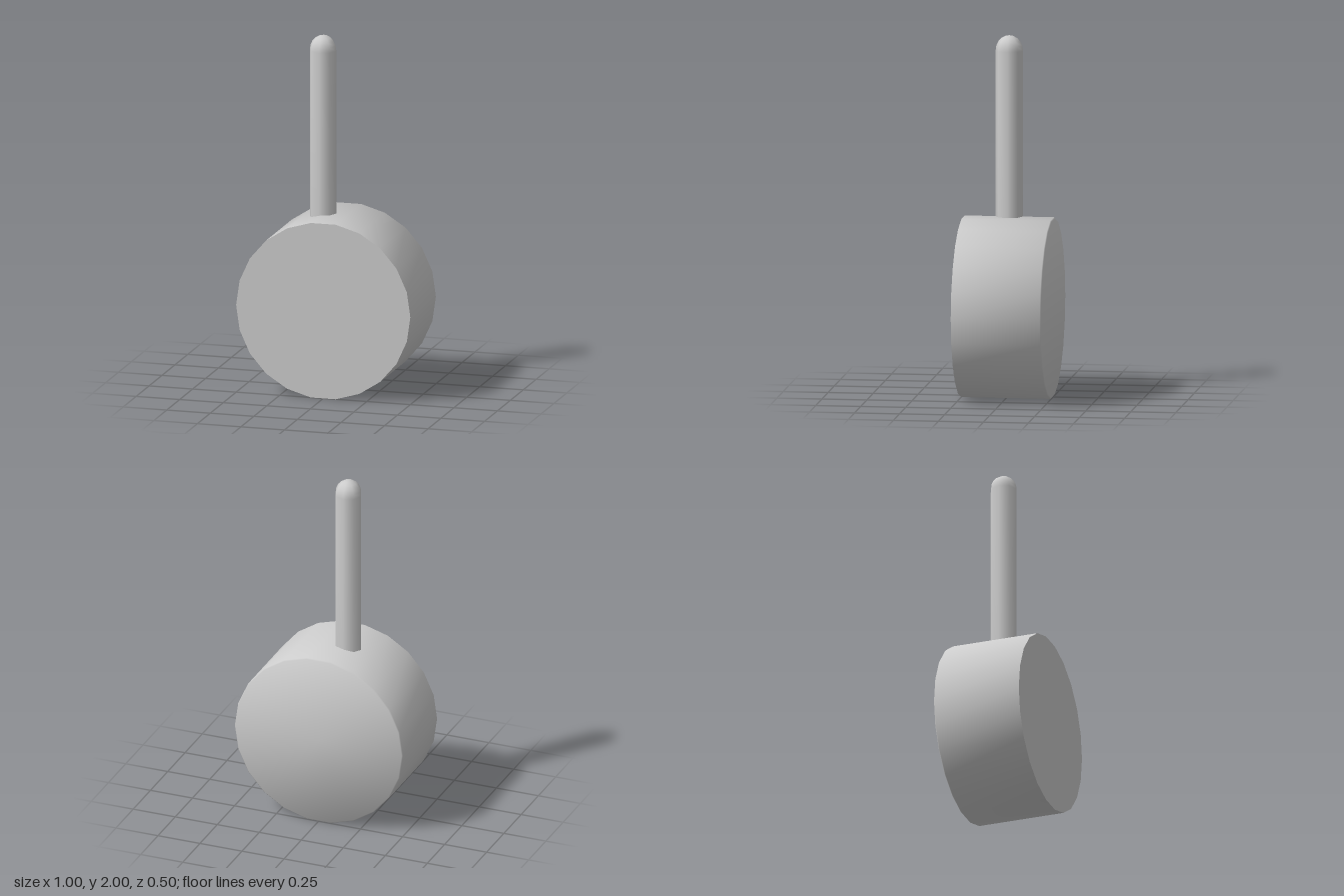
import * as THREE from 'three';
import { toCreasedNormals } from 'three/addons/utils/BufferGeometryUtils.js';

const points = (list) => list.map(([r, y]) => new THREE.Vector2(r, y));

export function createModel() {
  const model = new THREE.Group();
  const material = new THREE.MeshStandardMaterial({ color: 0xcccccc });

  // Drum head lying along z: sharp front rim, tiny chamfer at the back
  const drumProfile = points([[0, -0.25], [0.494, -0.25], [0.5, -0.244], [0.5, 0.25], [0, 0.25]]);
  const drumGeometry = new THREE.LatheGeometry(drumProfile, 22, Math.PI / 2);
  drumGeometry.rotateX(Math.PI / 2);
  const drum = new THREE.Mesh(toCreasedNormals(drumGeometry, 0.9), material);
  drum.name = 'drumHead';
  drum.position.y = 0.498;
  model.add(drum);

  // Eight-sided handle with a domed end, set slightly off centre
  const radius = 0.076;
  const handleProfile = [[0, 0.9], [radius, 0.9]];
  const steps = 5;
  for (let i = 0; i <= steps; i++) {
    const a = (i / steps) * Math.PI / 2;
    handleProfile.push([i === steps ? 0 : radius * Math.cos(a), 1.915 + 0.085 * Math.sin(a)]);
  }
  const handleGeometry = new THREE.LatheGeometry(points(handleProfile), 8);
  const handle = new THREE.Mesh(toCreasedNormals(handleGeometry, 0.95), material);
  handle.name = 'handle';
  handle.position.set(-0.074, 0, 0.003);
  model.add(handle);

  return model;
}
